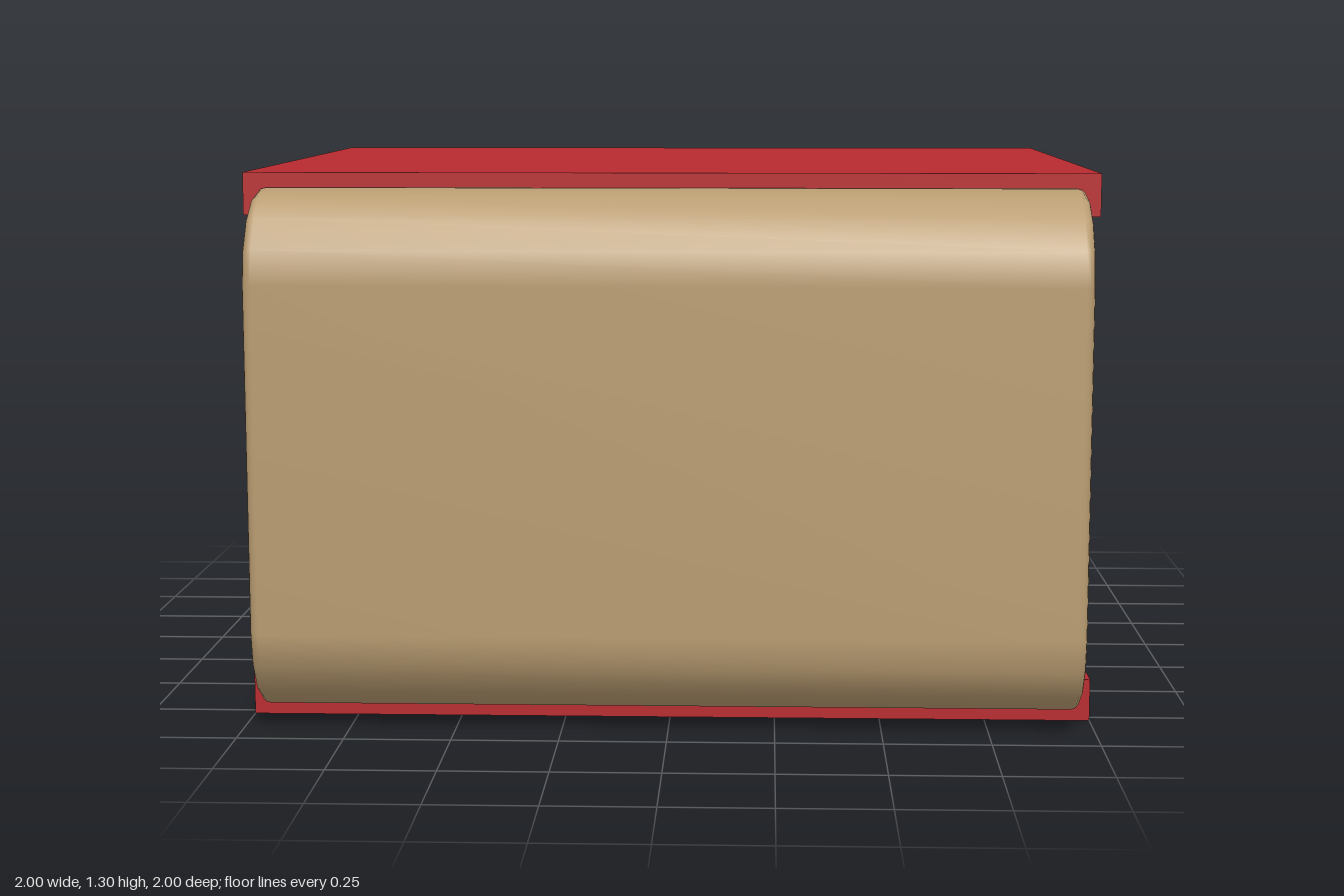
import * as THREE from 'three';

const red = new THREE.MeshStandardMaterial({ name: 'red', color: 0xb82a2e });
const tan = new THREE.MeshStandardMaterial({ name: 'tan', color: 0xb99c71 });

const MID_Y = 0.65;

function box(name, size, pos) {
  const mesh = new THREE.Mesh(new THREE.BoxGeometry(...size), red);
  mesh.name = name;
  mesh.position.set(...pos);
  return mesh;
}

// Bent sheet: a flat section with rounded ends swept along a C-shaped path
function bentSheetGeometry() {
  const h = 0.0215, w = 0.965 - h, r = 0.21 - h;
  const cornerZ = 0.79, cornerY = 0.405, flangeZ = 0.36, arc = 4, round = 6;

  // Section points: [x, offset along the outward normal]
  const section = [];
  for (const [side, start] of [[1, Math.PI / 2], [-1, -Math.PI / 2]]) {
    for (let k = 0; k <= round; k++) {
      const b = start - (k / round) * Math.PI;
      section.push([side * w + h * Math.cos(b), h * Math.sin(b)]);
    }
  }

  // Path points: [z, y, normal angle]
  const path = [[flangeZ, MID_Y - cornerY - r, -Math.PI / 2]];
  for (const side of [-1, 1]) {
    for (let k = 0; k <= arc; k++) {
      const a = (k / arc + (side < 0 ? -1 : 0)) * Math.PI / 2;
      path.push([cornerZ + r * Math.cos(a), MID_Y + side * cornerY + r * Math.sin(a), a]);
    }
  }
  path.push([flangeZ, MID_Y + cornerY + r, Math.PI / 2]);

  const verts = [], index = [], n = section.length;
  const addRing = ([z, y, a]) => {
    for (const [x, o] of section) verts.push(x, y + o * Math.sin(a), z + o * Math.cos(a));
  };
  path.forEach(addRing);
  for (let i = 0; i < path.length - 1; i++) {
    for (let j = 0; j < n; j++) {
      const a = i * n + j, b = i * n + (j + 1) % n;
      index.push(a, b, a + n, b, b + n, a + n);
    }
  }
  // Flat caps on the two flange edges
  const first = path.length * n, last = first + n;
  addRing(path[0]);
  addRing(path[path.length - 1]);
  for (let j = 1; j < n - 1; j++) {
    index.push(first, first + j + 1, first + j);
    index.push(last, last + j, last + j + 1);
  }

  const geo = new THREE.BufferGeometry();
  geo.setAttribute('position', new THREE.Float32BufferAttribute(verts, 3));
  geo.setIndex(index);
  geo.computeVertexNormals();
  return geo;
}

export function createModel() {
  const model = new THREE.Group();
  model.name = 'openShelfBox';

  // Solid top panel
  const depth = 1.56, wall = 0.035;
  model.add(box('topPanel', [2, 0.1, depth], [0, 1.25, 0]));

  // Bottom panel: a shallow tray, hollow underneath
  const base = new THREE.Group();
  base.name = 'bottomPanel';
  base.add(box('bottomDeck', [2, 0.03, depth], [0, 0.085, 0]));
  for (const s of [-1, 1]) {
    base.add(box('sideRim', [wall, 0.07, depth], [s * (1 - wall / 2), 0.035, 0]));
    base.add(box('longRim', [2 - 2 * wall, 0.07, wall], [0, 0.035, s * (depth - wall) / 2]));
  }
  model.add(base);

  // Bent front and back walls
  const sheet = bentSheetGeometry();
  ['frontWall', 'backWall'].forEach((name, i) => {
    const mesh = new THREE.Mesh(sheet, tan);
    mesh.name = name;
    mesh.rotation.y = i * Math.PI;
    model.add(mesh);
  });
  return model;
}
